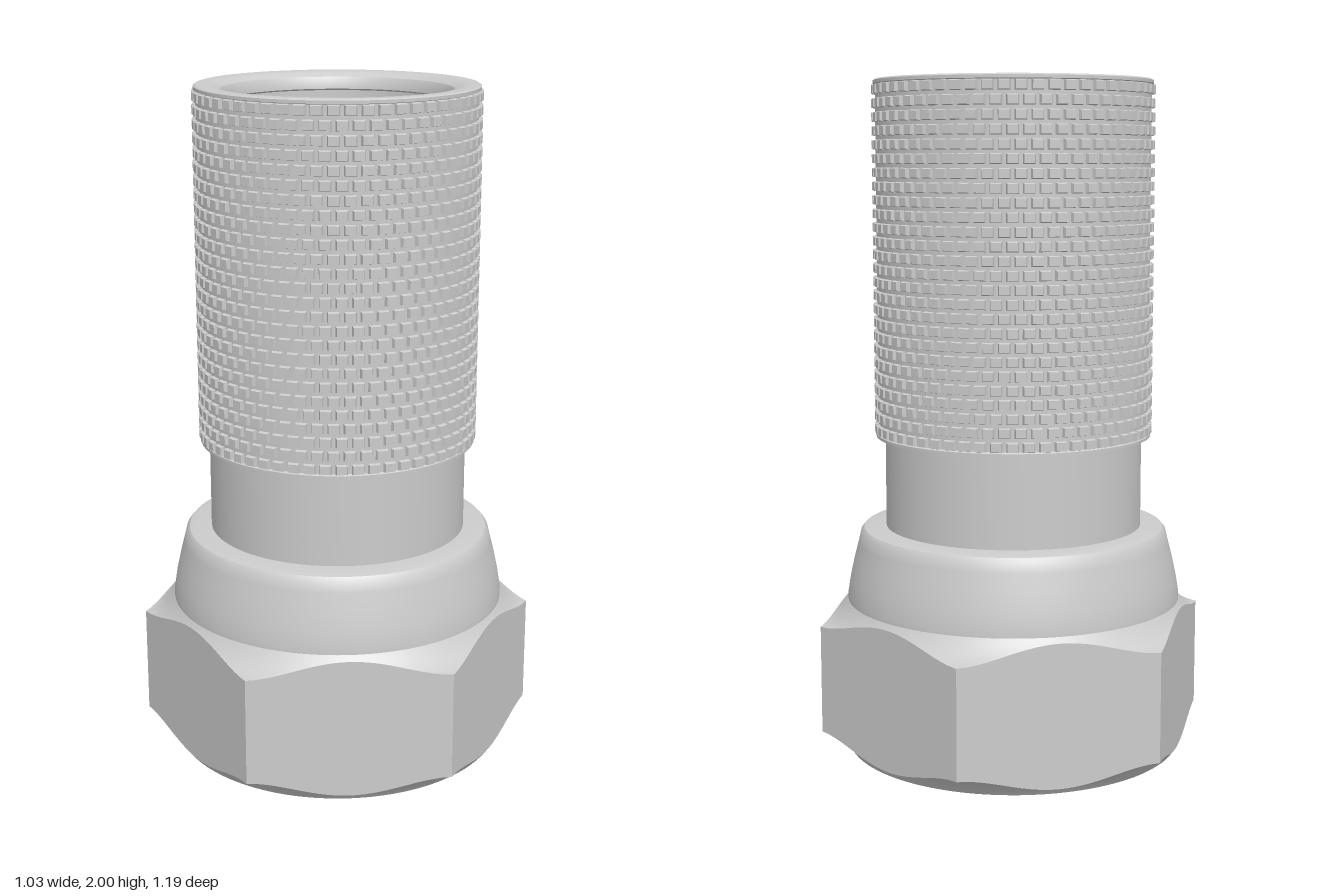
import * as THREE from 'three';
import { mergeGeometries, toCreasedNormals } from 'three/addons/utils/BufferGeometryUtils.js';

const TAU = Math.PI * 2;
const metal = new THREE.MeshStandardMaterial({ color: 0xcccccc });

// Scaled up while creasing so that close vertices stay distinct
function crease(geometry, angle = 0.5) {
  geometry.scale(100, 100, 100);
  return toCreasedNormals(geometry, angle).scale(0.01, 0.01, 0.01);
}

function part(name, geometry) {
  const mesh = new THREE.Mesh(geometry, metal);
  mesh.name = name;
  return mesh;
}

function lathe(name, points, segments = 96) {
  const profile = points.map(([r, y]) => new THREE.Vector2(r, y));
  return part(name, crease(new THREE.LatheGeometry(profile, segments)));
}

// Surface from (nu + 1) x (nv + 1) points given in polar form [angle, radius, y]
function polarGrid(nu, nv, at) {
  const positions = [], index = [];
  for (let i = 0; i <= nu; i++) {
    for (let j = 0; j <= nv; j++) {
      const [a, r, y] = at(i, j);
      positions.push(r * Math.sin(a), y, r * Math.cos(a));
      if (i < nu && j < nv) {
        const p = i * (nv + 1) + j, q = p + nv + 1;
        index.push(p, q, q + 1, p, q + 1, p + 1);
      }
    }
  }
  const geometry = new THREE.BufferGeometry();
  geometry.setAttribute('position', new THREE.Float32BufferAttribute(positions, 3));
  geometry.setIndex(index);
  return crease(geometry);
}

// Hexagon sides cut at both ends by a concave round chamfer
function hexSides() {
  const apothem = 0.515, corner = apothem / Math.cos(Math.PI / 6), inner = 0.503, steps = 6;
  const drop = r => ((corner - r) / (corner - inner)) ** 2;
  return polarGrid(144, steps * 2 + 1, (i, j) => {
    const a = (i / 144) * TAU;
    const side = apothem / Math.cos((a % (Math.PI / 3)) - Math.PI / 6);
    const top = j > steps;
    const t = top ? (steps * 2 + 1 - j) / steps : j / steps;
    const r = inner + (side - inner) * t;
    return [a, r, top ? 0.39 + 0.065 * drop(r) : 0.065 * (1 - drop(r))];
  });
}

// Helical rib standing inwards from a bore, closed at both ends
function threadRib(outer, crest, y0, pitch, turns, width, start) {
  const section = [[outer, width / 2], [crest, width * 0.32], [crest, -width * 0.32], [outer, -width / 2]];
  const n = Math.round(turns * 64);
  return polarGrid(n + 2, 4, (i, j) => {
    const t = (Math.min(Math.max(i - 1, 0), n) / n) * turns;
    const [r, dy] = i === 0 || i === n + 2 ? [(outer + crest) / 2, 0] : section[j % 4];
    return [start + t * TAU, r, y0 + t * pitch + dy];
  });
}

// Staggered rows of small tapered studs
function knurling() {
  const rows = 26, columns = 56, y0 = 0.955, pitch = 1.035 / rows;
  const stud = new THREE.BoxGeometry(0.04, pitch * 0.84, 0.02);
  const p = stud.attributes.position;
  for (let i = 0; i < p.count; i++) {
    if (p.getZ(i) > 0) p.setXY(i, p.getX(i) * 0.72, p.getY(i) * 0.72);
  }
  stud.computeVertexNormals();
  const studs = [];
  for (let row = 0; row < rows; row++) {
    for (let c = 0; c < columns; c++) {
      const a = ((c + (row % 2) / 2) / columns) * TAU;
      studs.push(stud.clone().translate(0, y0 + (row + 0.5) * pitch, 0.406).rotateY(a));
    }
  }
  return mergeGeometries(studs);
}

export function createModel() {
  const model = new THREE.Group();

  // Nut: hexagon, rounded mouth, threaded bore and tapered collar
  const nut = new THREE.Group();
  nut.name = 'nut';
  nut.add(
    part('hexagon', hexSides()),
    lathe('nutBore', [
      [0.385, 0.52], [0.43, 0.52], [0.43, 0.05], [0.435, 0.03], [0.448, 0.012],
      [0.465, 0.002], [0.48, 0], [0.503, 0],
    ]),
    part('nutThread', threadRib(0.435, 0.405, 0.08, 0.085, 4.25, 0.05, 0.8)),
    lathe('collar', [
      [0.503, 0.445], [0.503, 0.47], [0.495, 0.52], [0.482, 0.58], [0.469, 0.63],
      [0.462, 0.66], [0.452, 0.672], [0.435, 0.676], [0.38, 0.678],
    ]),
  );

  // Sleeve: plain neck, knurled grip, rounded rim and threaded bore
  const sleeve = new THREE.Group();
  sleeve.name = 'sleeve';
  sleeve.add(
    lathe('sleeveBody', [
      [0.335, 0.52], [0.385, 0.52], [0.385, 0.95], [0.412, 0.95], [0.412, 0.958],
      [0.405, 0.962], [0.405, 1.985], [0.411, 1.987], [0.411, 1.996], [0.405, 2],
      [0.375, 2], [0.352, 1.996], [0.335, 1.985], [0.327, 1.97], [0.325, 1.95],
      [0.335, 1.945], [0.335, 0.52],
    ]),
    part('gripKnurling', knurling()),
    part('sleeveThread', threadRib(0.34, 0.315, 0.58, 0.1, 13.3, 0.055, 2.1)),
  );

  model.add(nut, sleeve);
  return model;
}
